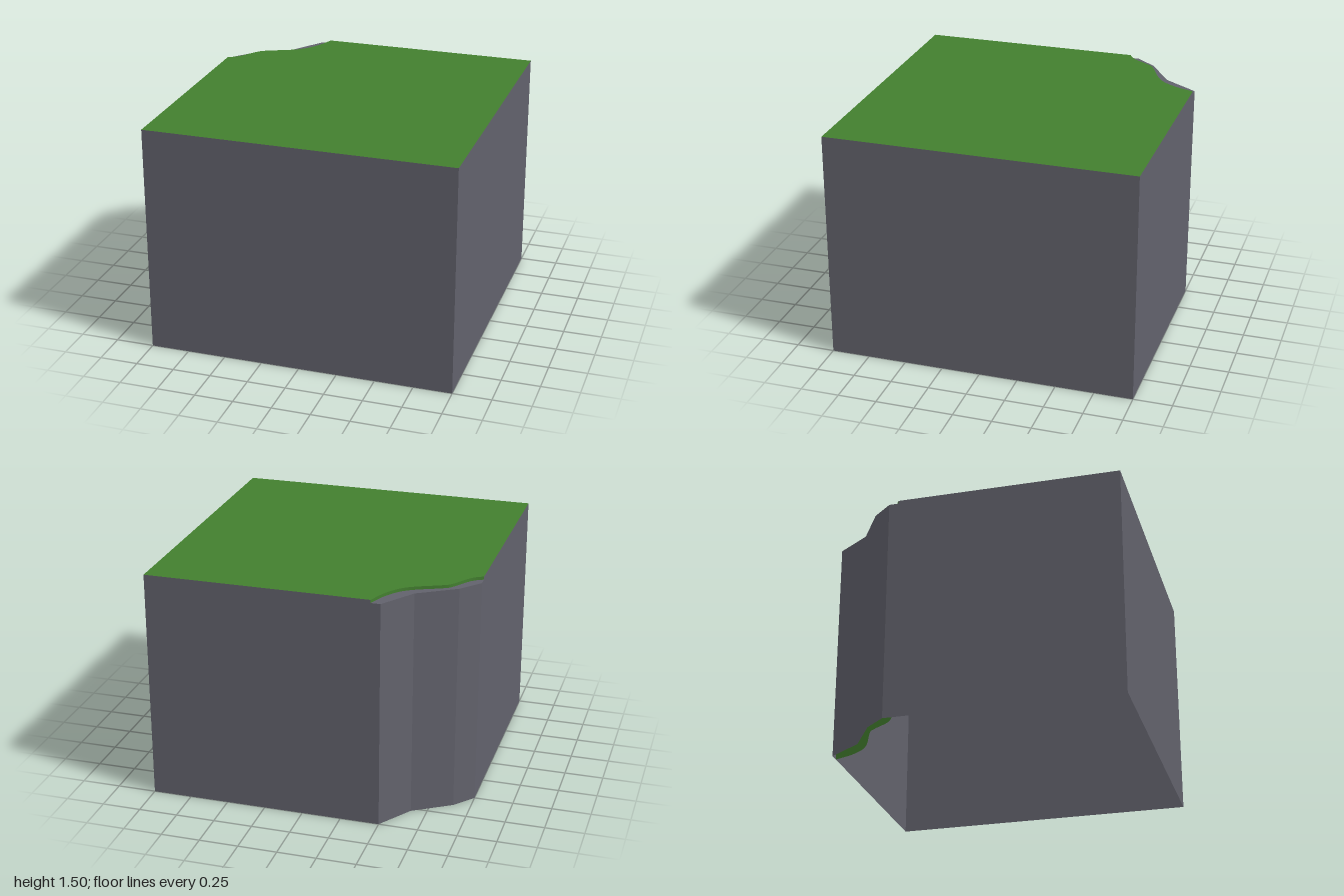
import * as THREE from 'three';

const HEIGHT = 1.5, LEDGE = 1.48;

// Plan outlines as [x, z]
const P = (list) => list.map(([x, z]) => new THREE.Vector2(x, z));
const rockEdge = P([[-0.5, -1], [-0.65, -0.78], [-0.89, -0.63], [-1, -0.5]]);
const grassEdge = new THREE.SplineCurve(P([
  [-0.44, -1], [-0.487, -0.88], [-0.556, -0.78], [-0.64, -0.72],
  [-0.8, -0.647], [-0.85, -0.604], [-0.93, -0.487], [-1, -0.44],
])).getPoints(28);

// Vertical strip standing on the ground along a plan outline
function wall(points, top) {
  const pos = [], index = [];
  points.forEach((p, i) => {
    pos.push(p.x, 0, p.y, p.x, top, p.y);
    if (i === 0) return;
    const a = 2 * (i - 1);
    index.push(a, a + 2, a + 3, a, a + 3, a + 1);
  });
  const geo = new THREE.BufferGeometry();
  geo.setAttribute('position', new THREE.Float32BufferAttribute(pos, 3));
  geo.setIndex(index);
  geo.computeVertexNormals();
  return geo;
}

// Level surface filling a plan outline, facing up
function slab(points, y) {
  const shape = new THREE.Shape(points.map((p) => new THREE.Vector2(p.x, -p.y)));
  return new THREE.ShapeGeometry(shape).rotateX(-Math.PI / 2).translate(0, y, 0);
}

export function createModel() {
  const group = new THREE.Group();
  const side = THREE.DoubleSide;
  const rock = new THREE.MeshStandardMaterial({ color: 0x62626c, flatShading: true, side });
  const grass = new THREE.MeshStandardMaterial({ color: 0x437f2f, side });
  const add = (name, geo, mat) => {
    const mesh = new THREE.Mesh(geo, mat);
    mesh.name = name;
    group.add(mesh);
  };

  const start = grassEdge[0], end = grassEdge[grassEdge.length - 1];
  const corners = P([[-1, 1], [1, 1], [1, -1]]);

  // Straight outer sides, open underneath
  add('outerWalls', wall([end, ...corners, start], HEIGHT), rock);

  // Faceted cliff cutting off the back corner, with its narrow ledge
  add('cliffWall', wall([start, ...rockEdge, end], LEDGE), rock);
  add('cliffLedge', slab([...rockEdge, ...grassEdge.slice().reverse()], LEDGE), rock);

  // Grass top with a wavy edge that continues down behind the cliff
  add('grassTop', slab([...grassEdge, ...corners], HEIGHT), grass);
  add('grassSkirt', wall(grassEdge, HEIGHT), grass);

  return group;
}
